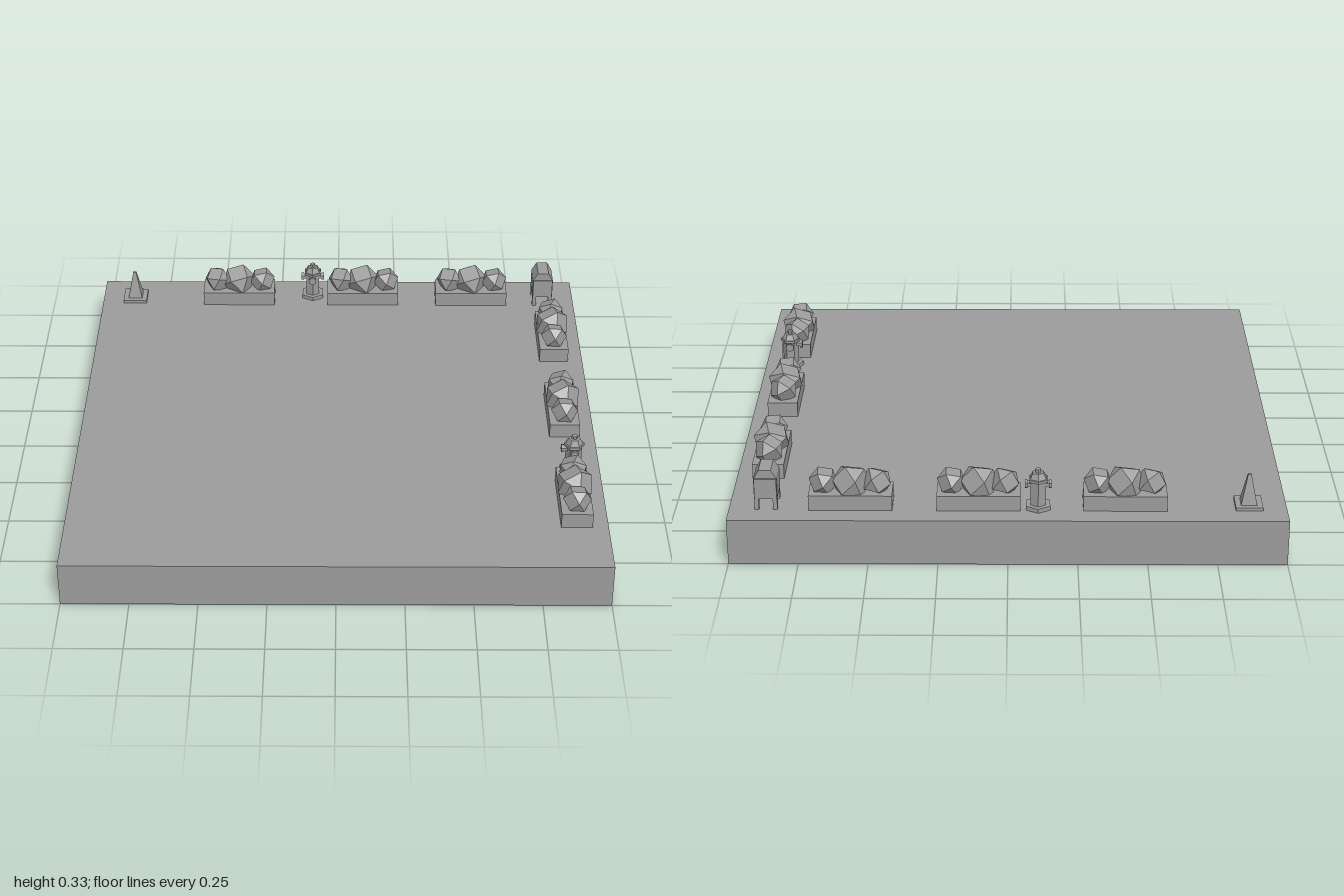
import * as THREE from 'three';
import { ConvexGeometry } from 'three/addons/geometries/ConvexGeometry.js';

const TOP = 0.174; // height of the slab
const material = new THREE.MeshStandardMaterial({ color: 0x9c9c9c, flatShading: true });

function add(parent, name, geometry, x = 0, y = 0, z = 0) {
  const mesh = new THREE.Mesh(geometry, material);
  mesh.name = name;
  mesh.position.set(x, y, z);
  parent.add(mesh);
  return mesh;
}

function group(name) {
  const g = new THREE.Group();
  g.name = name;
  return g;
}

// Place a part on the slab, turned about the vertical axis
function place(parent, part, x, z, turn = 0) {
  part.position.set(x, TOP, z);
  part.rotation.y = turn;
  parent.add(part);
}

// Faceted ball of six squares and eight triangles
function facetedBall(radius) {
  const s = radius / Math.SQRT2;
  const points = [];
  for (const a of [-s, s]) {
    for (const b of [-s, s]) {
      points.push(new THREE.Vector3(a, b, 0), new THREE.Vector3(a, 0, b), new THREE.Vector3(0, a, b));
    }
  }
  return new ConvexGeometry(points);
}

// Low box with three faceted bushes
function planter() {
  const g = group('planter');
  add(g, 'planterBox', new THREE.BoxGeometry(0.3, 0.058, 0.116), 0, 0.029, 0);
  const bushes = [
    [-0.092, 0.092, 0, 0.056, 0.3, 0.5, 0.25],
    [-0.002, 0.088, 0, 0.071, 0.25, 1.05, 0.2],
    [0.098, 0.092, 0, 0.053, -0.3, 0.8, 0.3],
  ];
  for (const [x, y, z, r, a, b, c] of bushes) {
    add(g, 'bush', facetedBall(r), x, y, z).rotation.set(a, b, c);
  }
  return g;
}

// Six-sided hydrant with two side outlets and a front outlet
function hydrant() {
  const g = group('hydrant');
  const rings = [
    ['baseFlange', 0.05, 0.05, 0, 0.016],
    ['barrel', 0.031, 0.031, 0.016, 0.108],
    ['collar', 0.039, 0.039, 0.108, 0.118],
    ['bonnet', 0.022, 0.033, 0.118, 0.14],
    ['topNut', 0.011, 0.011, 0.14, 0.153],
  ];
  for (const [name, rTop, rBottom, y0, y1] of rings) {
    add(g, name, new THREE.CylinderGeometry(rTop, rBottom, y1 - y0, 6), 0, (y0 + y1) / 2, 0);
  }
  for (const turn of [0, Math.PI / 2, -Math.PI / 2]) {
    const outlet = group('outlet');
    add(outlet, 'outletPipe', new THREE.CylinderGeometry(0.012, 0.012, 0.022, 6), 0, 0.094, 0.032).rotation.x = Math.PI / 2;
    add(outlet, 'outletCap', new THREE.CylinderGeometry(0.017, 0.017, 0.01, 6), 0, 0.094, 0.043).rotation.x = Math.PI / 2;
    outlet.rotation.y = turn;
    g.add(outlet);
  }
  return g;
}

// Four-sided traffic cone on a square foot
function trafficCone() {
  const g = group('trafficCone');
  add(g, 'coneFoot', new THREE.BoxGeometry(0.098, 0.012, 0.098), 0, 0.006, 0);
  const body = new THREE.CylinderGeometry(0.006 * Math.SQRT2, 0.029 * Math.SQRT2, 0.112, 4);
  add(g, 'coneBody', body, 0, 0.068, 0).rotation.y = Math.PI / 4;
  return g;
}

// Arched box on four legs; the arch runs along z
function mailbox() {
  const g = group('mailbox');
  const arch = new THREE.Shape();
  arch.moveTo(-0.042, 0.042);
  arch.lineTo(0.042, 0.042);
  arch.lineTo(0.042, 0.118);
  arch.lineTo(0.022, 0.152);
  arch.lineTo(-0.022, 0.152);
  arch.lineTo(-0.042, 0.118);
  arch.closePath();
  const body = new THREE.ExtrudeGeometry(arch, { depth: 0.096, bevelEnabled: false });
  add(g, 'mailboxBody', body, 0, 0, -0.048);
  // Slightly deeper lower housing
  add(g, 'mailboxHousing', new THREE.BoxGeometry(0.08, 0.078, 0.108), 0, 0.081, 0);
  for (const x of [-0.033, 0.033]) {
    for (const z of [-0.043, 0.043]) {
      add(g, 'mailboxLeg', new THREE.BoxGeometry(0.016, 0.044, 0.02), x, 0.022, z);
    }
  }
  return g;
}

export function createModel() {
  const model = group('streetCorner');
  add(model, 'slab', new THREE.BoxGeometry(2, TOP, 2), 0, TOP / 2, 0);

  // Planter rows along the back and the left edge
  for (const x of [-0.42, 0.105, 0.564]) place(model, planter(), x, -0.864);
  for (const z of [-0.516, 0.03, 0.612]) place(model, planter(), 0.883, z, -Math.PI / 2);

  place(model, hydrant(), -0.108, -0.89);
  place(model, hydrant(), 0.897, 0.389, -Math.PI / 2);
  place(model, trafficCone(), -0.864, -0.868);
  place(model, mailbox(), 0.866, -0.86);
  return model;
}
